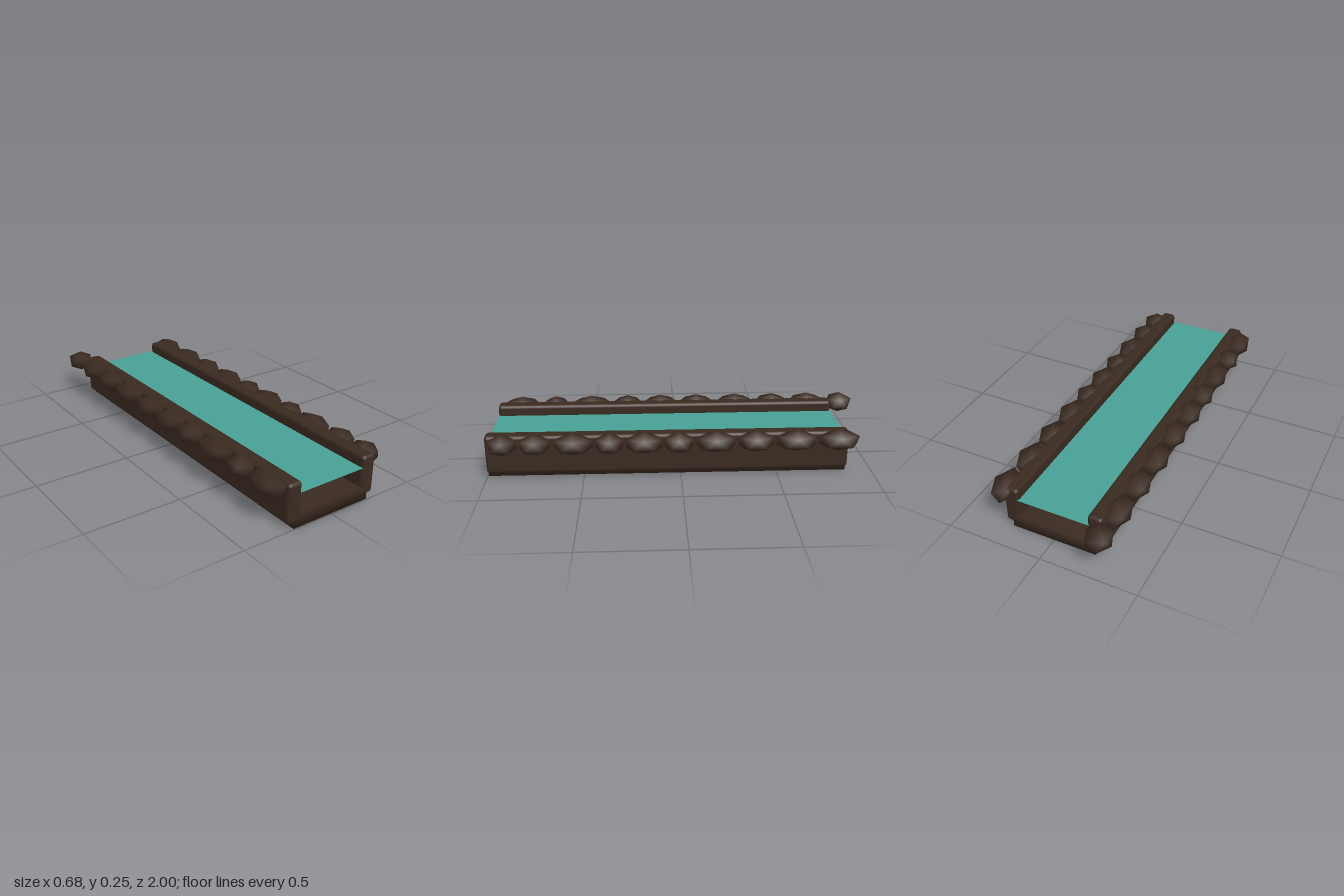
import * as THREE from 'three';
import { mergeVertices } from 'three/addons/utils/BufferGeometryUtils.js';
import { RoundedBoxGeometry } from 'three/addons/geometries/RoundedBoxGeometry.js';

const BACK = -0.865, FRONT = 0.995;
const LENGTH = FRONT - BACK, MID_Z = (FRONT + BACK) / 2;

// Twelve-point stone with a pole at top and bottom and two staggered rings of five
function stoneGeometry() {
  const ringY = 1 / Math.sqrt(5), ringR = 2 * ringY;
  const points = [0, 1, 0];
  for (const [y, turn] of [[ringY, 0], [-ringY, 0.5]]) {
    for (let i = 0; i < 5; i++) {
      const a = (i + turn) * Math.PI * 0.4;
      points.push(ringR * Math.cos(a), y, -ringR * Math.sin(a));
    }
  }
  points.push(0, -1, 0);
  const index = [];
  for (let i = 0; i < 5; i++) {
    const u = 1 + i, u2 = 1 + (i + 1) % 5, l = u + 5, l2 = u2 + 5;
    index.push(0, u, u2, u, l, u2, u2, l, l2, 11, l2, l);
  }
  const g = new THREE.BufferGeometry();
  g.setAttribute('position', new THREE.Float32BufferAttribute(points, 3));
  g.setIndex(index);
  return g;
}

// Box whose corners share one smooth normal
function smoothBox(w, h, d) {
  const box = new THREE.BoxGeometry(w, h, d);
  box.deleteAttribute('normal');
  box.deleteAttribute('uv');
  const g = mergeVertices(box);
  g.computeVertexNormals();
  return g;
}

export function createModel() {
  const model = new THREE.Group();
  model.name = 'waterTrough';
  const earth = new THREE.MeshStandardMaterial({ color: 0x3a2a20 });
  const waterBlue = new THREE.MeshStandardMaterial({ color: 0x48a094, side: THREE.DoubleSide });

  const add = (name, geometry, material, x, y, z) => {
    const mesh = new THREE.Mesh(geometry, material);
    mesh.name = name;
    mesh.position.set(x, y, z);
    model.add(mesh);
    return mesh;
  };

  // Channel floor and water surface
  add('floor', smoothBox(0.446, 0.073, LENGTH), earth, 0, 0.0365, MID_Z);
  const water = new THREE.PlaneGeometry(0.39, LENGTH).rotateX(-Math.PI / 2);
  add('water', water, waterBlue, 0, 0.175, MID_Z);

  // Rounded side walls
  const wall = new RoundedBoxGeometry(0.076, 0.205, LENGTH + 0.005, 2, 0.018);
  add('leftWall', wall, earth, 0.222, 0.13, MID_Z);
  add('rightWall', wall, earth, -0.222, 0.13, MID_Z);

  // Uneven stones along the outside of each wall: [back z, front z]
  const rows = {
    rightStone: [-0.278, [
      [-1, -0.86], [-0.84, -0.645], [-0.63, -0.45], [-0.43, -0.23], [-0.205, -0.015],
      [0, 0.185], [0.2, 0.36], [0.375, 0.59], [0.615, 0.755], [0.775, 0.975]]],
    leftStone: [0.278, [
      [-0.91, -0.71], [-0.69, -0.49], [-0.47, -0.295], [-0.275, -0.08], [-0.06, 0.085],
      [0.095, 0.28], [0.295, 0.435], [0.45, 0.645], [0.665, 0.82], [0.835, 0.975]]],
  };
  for (const [name, [x, spans]] of Object.entries(rows)) {
    spans.forEach(([z0, z1], i) => {
      const g = stoneGeometry().scale(0.0715, 0.0585, (z1 - z0) / 2 / 0.8507);
      g.computeVertexNormals();
      add(name + (i + 1), g, earth, x, 0.195, (z0 + z1) / 2);
    });
  }
  return model;
}
